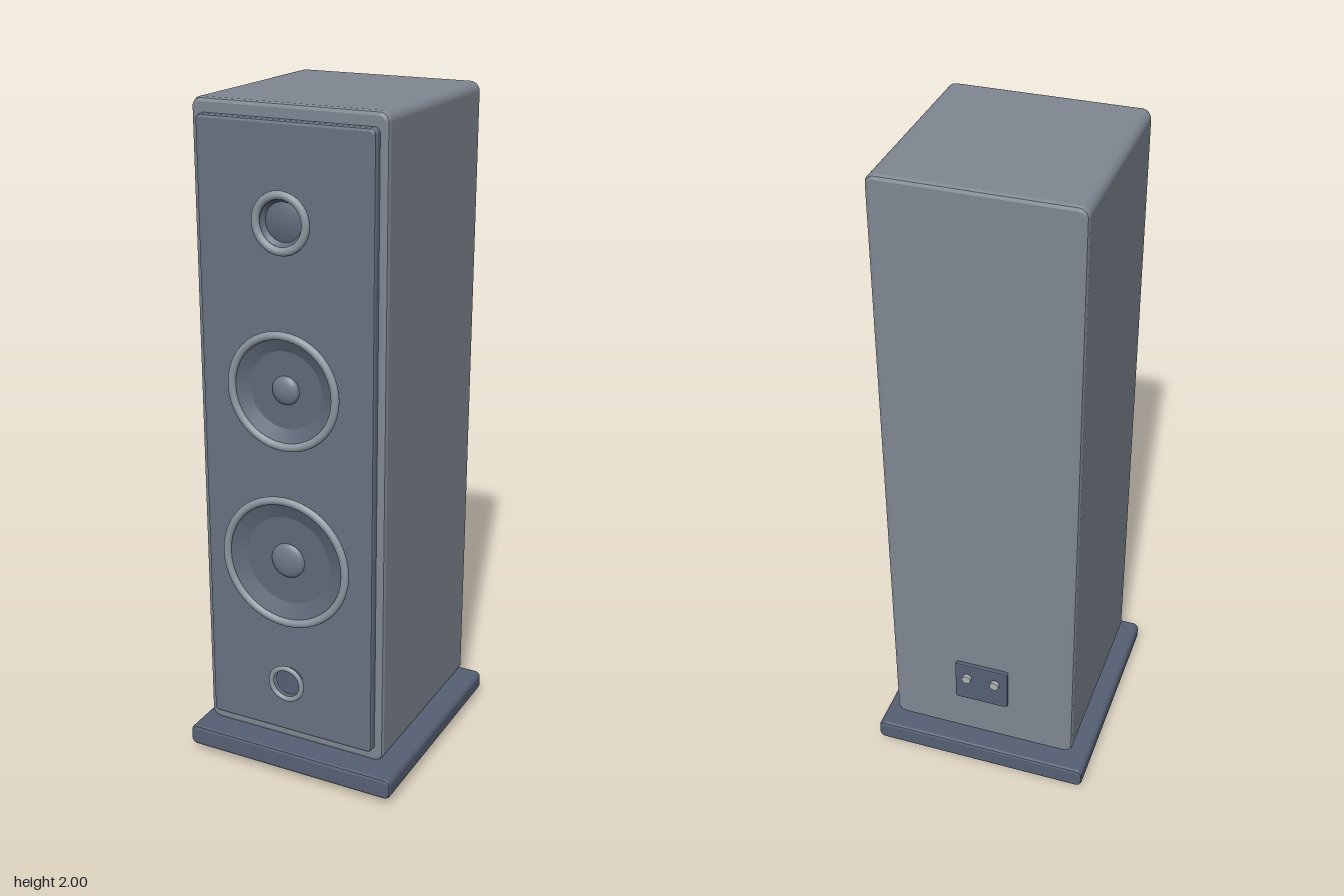
import * as THREE from 'three';

const mat = (color, side = THREE.FrontSide) => new THREE.MeshStandardMaterial({ color, side });
const cabinetMat = mat(0x808792);
const baffleMat = mat(0x687182);
const plinthMat = mat(0x566074);
const ringMat = mat(0x8c959f);
const coneMat = mat(0x606979, THREE.DoubleSide);
const domeMat = mat(0x6f7888);
const metalMat = mat(0xb0b3b6);

function add(parent, name, geometry, material, x = 0, y = 0, z = 0) {
  const mesh = new THREE.Mesh(geometry, material);
  mesh.name = name;
  mesh.position.set(x, y, z);
  parent.add(mesh);
  return mesh;
}

// Rounded rectangle in xy, extruded along z with bevelled edges; sizes are overall
function panel(w, h, d, radius, bevel) {
  const a = w / 2 - bevel, b = h / 2 - bevel, r = radius;
  const s = new THREE.Shape();
  s.moveTo(-a + r, -b);
  s.lineTo(a - r, -b);
  s.absarc(a - r, -b + r, r, -Math.PI / 2, 0);
  s.absarc(a - r, b - r, r, 0, Math.PI / 2);
  s.absarc(-a + r, b - r, r, Math.PI / 2, Math.PI);
  s.absarc(-a + r, -b + r, r, Math.PI, Math.PI * 1.5);
  const g = new THREE.ExtrudeGeometry(s, {
    depth: d - 2 * bevel, bevelEnabled: true, bevelSize: bevel,
    bevelThickness: bevel, bevelSegments: 2, curveSegments: 5,
  });
  return g.translate(0, 0, -d / 2 + bevel);
}

// Profile of [radius, z] points turned about the z axis
function turned(points) {
  const g = new THREE.LatheGeometry(points.map(([r, z]) => new THREE.Vector2(r, z)), 48);
  return g.rotateX(Math.PI / 2);
}

// Driver: surround ring, cone running back into the baffle, and centre dome
function driver(parent, name, y, radius, tube, coneBack, domeRadius) {
  const g = new THREE.Group();
  g.name = name;
  g.position.set(0, y, 0.325);
  add(g, name + 'Ring', new THREE.TorusGeometry(radius - tube, tube, 12, 48), ringMat, 0, 0, 0.019).scale.z = 0.01 / tube;
  add(g, name + 'Cone', turned([[coneBack, 0.001], [radius - 1.6 * tube, 0.019]]), coneMat);
  add(g, name + 'Diaphragm', new THREE.CircleGeometry(coneBack, 48), coneMat, 0, 0, 0.001);
  if (domeRadius) {
    const dome = new THREE.SphereGeometry(domeRadius, 32, 10, 0, Math.PI * 2, 0, Math.PI / 2).rotateX(Math.PI / 2);
    add(g, name + 'Dome', dome, domeMat).scale.z = 0.018 / domeRadius;
  }
  parent.add(g);
}

export function createModel() {
  const model = new THREE.Group();
  model.name = 'floorSpeaker';

  // Cabinet and front baffle
  add(model, 'cabinet', panel(0.58, 1.89, 0.605, 0.016, 0.012), cabinetMat, 0, 1.055, -0.0025);
  add(model, 'baffle', panel(0.53, 1.81, 0.035, 0.006, 0.009), baffleMat, 0, 1.055, 0.3075);

  // Plinth with a narrow shadow gap under the cabinet
  add(model, 'plinth', panel(0.676, 0.064, 0.706, 0.01, 0.009), plinthMat, 0, 0.058, -0.002);

  // Feet
  for (const x of [-0.248, 0.248]) {
    for (const z of [-0.26, 0.26]) {
      add(model, 'foot', new THREE.CylinderGeometry(0.027, 0.027, 0.03, 24), metalMat, x, 0.015, z);
    }
  }

  // Drivers
  driver(model, 'woofer', 0.717, 0.202, 0.012, 0.133, 0.053);
  driver(model, 'midrange', 1.231, 0.172, 0.012, 0.112, 0.042);
  driver(model, 'tweeter', 1.697, 0.087, 0.012, 0.054, 0);
  add(model, 'tweeterDome', turned([[0.055, 0], [0.04, 0.005], [0.02, 0.008], [0, 0.009]]), coneMat, 0, 1.697, 0.326);

  // Bass port
  add(model, 'portRing', new THREE.TorusGeometry(0.05, 0.008, 12, 40), ringMat, 0, 0.325, 0.348).scale.z = 0.85;
  add(model, 'portPlug', new THREE.CylinderGeometry(0.043, 0.043, 0.008, 32).rotateX(Math.PI / 2), plinthMat, 0, 0.325, 0.328);

  // Rear terminal plate and binding posts
  add(model, 'terminalPlate', panel(0.168, 0.142, 0.014, 0.004, 0.003), plinthMat, 0, 0.329, -0.311);
  for (const x of [-0.045, 0.045]) {
    add(model, 'bindingPost', new THREE.CylinderGeometry(0.014, 0.014, 0.014, 20).rotateX(Math.PI / 2), metalMat, x, 0.349, -0.323);
  }
  return model;
}
